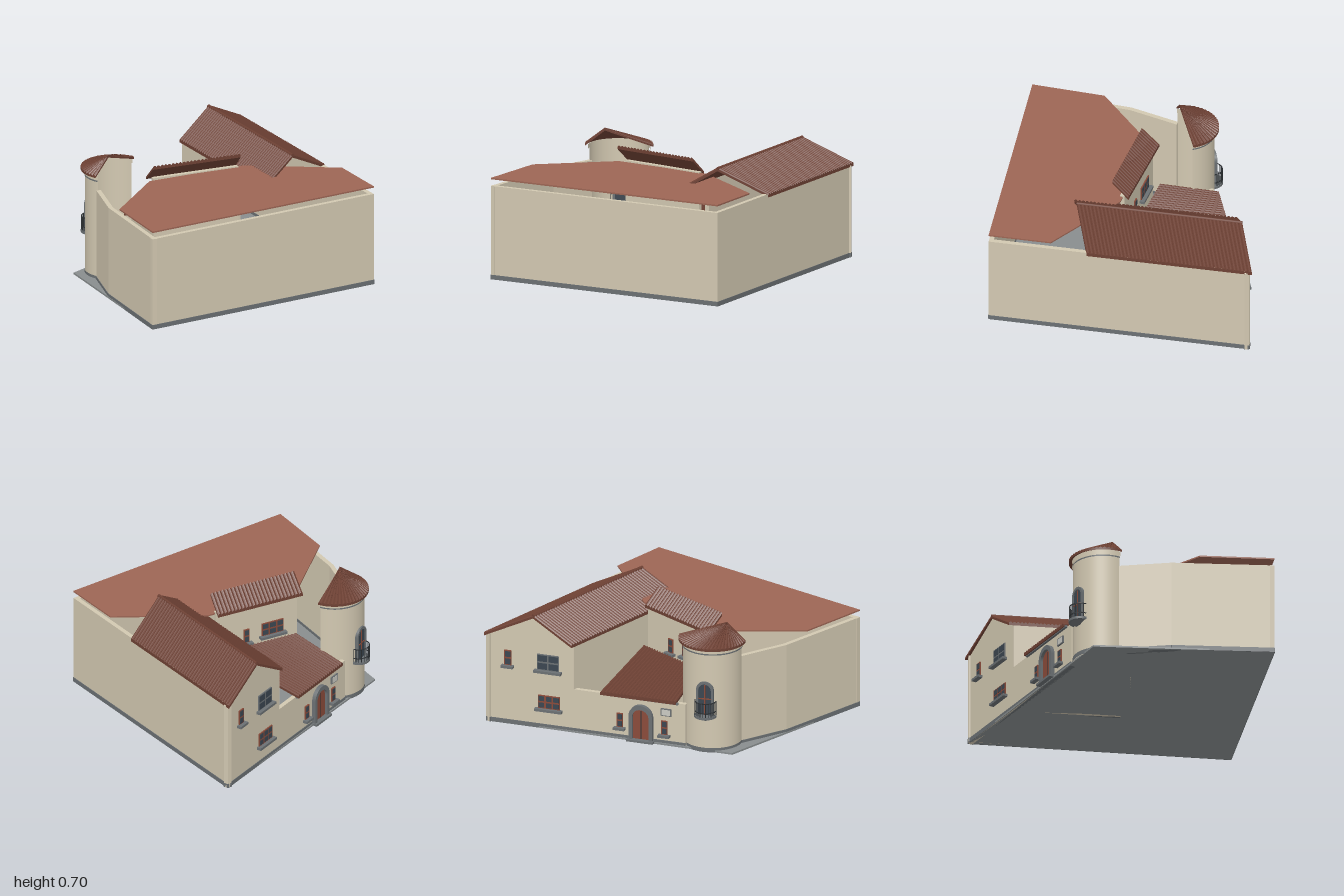
import * as THREE from 'three';

const mat = (name, color, side = THREE.FrontSide) => {
  const m = new THREE.MeshStandardMaterial({ color, side });
  m.name = name;
  return m;
};

export function createModel() {
  const M = {
    wall: mat('plaster', 0xd2c8b1, THREE.DoubleSide),
    tile: mat('roof tile', 0x6e4134, THREE.DoubleSide),
    deck: mat('terracotta', 0x9c6554),
    floor: mat('paving', 0x888d8e),
    stone: mat('grey stone', 0x6b7073),
    glass: mat('dark glass', 0x3b4650),
    wood: mat('red wood', 0x8a4b3a),
    iron: mat('iron', 0x2c3033),
    sign: mat('plaque', 0xc9c9c2),
  };
  const model = new THREE.Group();
  const add = (parent, name, geo, m, x = 0, y = 0, z = 0) => {
    const mesh = new THREE.Mesh(geo, m);
    mesh.name = name;
    mesh.position.set(x, y, z);
    parent.add(mesh);
    return mesh;
  };
  const box = (parent, name, m, w, h, d, x, y, z) =>
    add(parent, name, new THREE.BoxGeometry(w, h, d), m, x, y, z);
  const extrude = (shape, depth) => new THREE.ExtrudeGeometry(shape, { depth, bevelEnabled: false, curveSegments: 12 });
  const poly = (pts) => new THREE.Shape(pts.map(([x, y]) => new THREE.Vector2(x, y)));

  // Frame along a plan line p -> q: local x runs along it, local z points outward
  const frame = (name, [px, pz], [qx, qz]) => {
    const g = new THREE.Group();
    g.name = name;
    g.position.set(px, 0, pz);
    g.rotation.y = Math.atan2(-(qz - pz), qx - px);
    g.userData.len = Math.hypot(qx - px, qz - pz);
    model.add(g);
    return g;
  };
  const wall = (name, p, q, h, t = 0.025) => {
    const g = frame(name, p, q), L = g.userData.len;
    box(g, 'wallPanel', M.wall, L, h, t, L / 2, h / 2, -t / 2);
    box(g, 'plinth', M.stone, L, 0.025, t + 0.006, L / 2, 0.0125, -t / 2);
    return g;
  };
  // Horizontal slab from plan points
  const slab = (name, pts, y, h, m) => {
    const geo = extrude(poly(pts.map(([x, z]) => [x, -z])), h);
    geo.rotateX(-Math.PI / 2);
    return add(model, name, geo, m, 0, y, 0);
  };
  // Ribbed tile roof lofted between an eave curve and a ridge curve
  const tileRoof = (name, eave, ridge, tiles, thick = 0.014, amp = 0.008) => {
    const pos = [], idx = [], n = tiles * 4;
    for (let i = 0; i <= n; i++) {
      const u = i / n, bump = amp * Math.abs(Math.sin(u * tiles * Math.PI));
      const e = eave(u), r = ridge(u);
      for (const [p, dy] of [[e, bump], [r, bump], [r, -thick], [e, -thick]]) pos.push(p.x, p.y + dy, p.z);
    }
    for (let i = 0; i < n; i++) for (let k = 0; k < 4; k++) {
      const a = i * 4 + k, b = i * 4 + (k + 1) % 4;
      idx.push(a, a + 4, b, b, a + 4, b + 4);
    }
    for (const s of [0, n * 4]) idx.push(s, s + 1, s + 2, s, s + 2, s + 3);
    let geo = new THREE.BufferGeometry();
    geo.setAttribute('position', new THREE.Float32BufferAttribute(pos, 3));
    geo.setIndex(idx);
    geo = geo.toNonIndexed();
    geo.computeVertexNormals();
    return add(model, name, geo, M.tile);
  };
  const V = (x, y, z) => new THREE.Vector3(x, y, z);
  const line = (a, b) => (u) => a.clone().lerp(b, u);

  // Plan corners
  const S = [-0.355, 0.995], E = [0.81, 0.23], N = [0.055, -0.985], W = [-0.81, 0.13];

  // Ground slab and terrace
  slab('groundSlab', [S, E, N, W], 0, 0.01, M.floor);
  slab('terraceDeck', [S, E, [0.63, -0.06], [0.1, -0.08], [-0.4, 0.19], [-0.545, 0.64]], 0.551, 0.008, M.deck);

  // Outer and inner walls
  wall('frontWall', S, E, 0.515);
  wall('eastWall', E, N, 0.515);
  wall('westWall', [-0.61, 0.5], S, 0.515);
  wall('westWallReturn', [-0.685, 0.225], [-0.61, 0.5], 0.515);
  wall('gableSideWall', [-0.25, -0.585], [0.06, -0.09], 0.515);
  const court = wall('courtyardWall', [0.06, -0.07], [-0.39, 0.14], 0.565);

  // Street facade: tall gable and low entrance wall
  const fac = frame('facade', N, [-0.8, 0.14]);
  add(fac, 'gableWall', extrude(poly([[0, 0], [0.5, 0], [0.5, 0.505], [0.262, 0.638], [0, 0.505]]), 0.025), M.wall, 0, 0, -0.025);
  box(fac, 'entranceWall', M.wall, 0.64, 0.25, 0.025, 0.82, 0.125, -0.0125);
  box(fac, 'plinth', M.stone, 1.14, 0.025, 0.031, 0.57, 0.0125, -0.0125);

  // Window with frame, panes, glazing bars and sill
  const windowAt = (g, x, y, w, h, panes, frameMat) => {
    const win = new THREE.Group();
    win.name = 'window';
    win.position.set(x, y, 0);
    g.add(win);
    box(win, 'windowFrame', frameMat, w, h, 0.008, 0, 0, 0.003);
    for (let i = 0; i < panes; i++) for (let j = 0; j < 2; j++) {
      const pw = w / panes, ph = h / 2;
      box(win, 'pane', M.glass, pw - 0.01, ph - 0.01, 0.004, (i + 0.5) * pw - w / 2, (j - 0.5) * ph, 0.007);
    }
    box(win, 'sill', M.stone, w + 0.03, 0.014, 0.03, 0, -h / 2 - 0.007, 0.012);
  };
  windowAt(fac, 0.125, 0.385, 0.04, 0.085, 1, M.wood);
  windowAt(fac, 0.355, 0.385, 0.125, 0.09, 2, M.stone);
  windowAt(fac, 0.36, 0.155, 0.125, 0.075, 3, M.wood);
  windowAt(fac, 0.765, 0.11, 0.035, 0.08, 1, M.wood);
  windowAt(fac, 1.02, 0.1, 0.035, 0.08, 1, M.wood);
  windowAt(court, 0.185, 0.375, 0.035, 0.08, 1, M.wood);
  windowAt(court, 0.345, 0.385, 0.13, 0.075, 3, M.wood);

  // Arched panel of a given width and total height
  const arch = (w, h) => {
    const s = new THREE.Shape();
    s.moveTo(-w / 2, 0);
    s.lineTo(w / 2, 0);
    s.lineTo(w / 2, h - w / 2);
    s.absarc(0, h - w / 2, w / 2, 0, Math.PI, false);
    s.closePath();
    return s;
  };
  // Entrance door
  const door = new THREE.Group();
  door.name = 'door';
  door.position.set(0.888, 0.01, 0);
  fac.add(door);
  const surround = arch(0.135, 0.205);
  surround.holes.push(arch(0.095, 0.18));
  add(door, 'doorSurround', extrude(surround, 0.022), M.stone);
  add(door, 'doorLeaf', extrude(arch(0.096, 0.181), 0.006), M.wood);
  box(door, 'doorSeam', M.iron, 0.004, 0.17, 0.002, 0, 0.085, 0.007);
  box(door, 'doorStep', M.stone, 0.15, 0.012, 0.035, 0, 0, 0.0175);
  // Plain wall plaque
  box(fac, 'plaqueFrame', M.stone, 0.06, 0.042, 0.008, 1.03, 0.19, 0.004);
  box(fac, 'plaque', M.sign, 0.05, 0.032, 0.004, 1.03, 0.19, 0.008);

  // Half-round tower
  const tx = -0.59, tz = 0.09, R = 0.16, a0 = -3.71;
  const ring = (name, m, r, h, y) =>
    add(model, name, new THREE.CylinderGeometry(r, r, h, 32, 1, true, a0, Math.PI), m, tx, y, tz);
  ring('towerWall', M.wall, R, 0.6, 0.3);
  ring('towerPlinth', M.stone, R + 0.004, 0.025, 0.0125);
  ring('towerCornice', M.wall, R + 0.008, 0.025, 0.588);
  ring('towerBand', M.stone, R + 0.005, 0.008, 0.568);
  const apex = V(-0.622, 0.69, 0.16);
  tileRoof('towerRoof', (u) => {
    const a = a0 + u * Math.PI;
    return V(tx + 0.184 * Math.sin(a), 0.603, tz + 0.184 * Math.cos(a));
  }, () => apex, 26, 0.01, 0.007);

  // Tower window and balcony
  const tw = new THREE.Group();
  tw.name = 'towerWindow';
  tw.position.set(tx - 0.84 * R, 0.21, tz - 0.54 * R);
  tw.rotation.y = Math.atan2(-0.84, -0.54);
  model.add(tw);
  const twFrame = arch(0.095, 0.2);
  twFrame.holes.push(arch(0.07, 0.185));
  add(tw, 'archFrame', extrude(twFrame, 0.035), M.stone, 0, 0, -0.025);
  add(tw, 'archGlass', extrude(arch(0.072, 0.186), 0.022), M.glass, 0, 0, -0.018);
  box(tw, 'archBar', M.wood, 0.006, 0.18, 0.004, 0, 0.09, 0.005);
  box(tw, 'archCrossBar', M.wood, 0.07, 0.006, 0.004, 0, 0.1, 0.005);
  const half = (r, h) => new THREE.CylinderGeometry(r, r, h, 20, 1, false, -Math.PI / 2, Math.PI);
  add(tw, 'balconyFloor', half(0.062, 0.014), M.stone, 0, 0, -0.012);
  add(tw, 'balconyBracket', new THREE.CylinderGeometry(0.05, 0.02, 0.02, 20, 1, false, -Math.PI / 2, Math.PI), M.stone, 0, -0.016, -0.012);
  for (const y of [0.03, 0.085]) {
    const rail = add(tw, 'balconyRail', new THREE.TorusGeometry(0.058, 0.003, 5, 18, Math.PI), M.iron, 0, y, -0.012);
    rail.rotation.x = Math.PI / 2;
  }
  for (let i = 0; i <= 12; i++) {
    const a = i / 12 * Math.PI;
    add(tw, 'baluster', new THREE.CylinderGeometry(0.0022, 0.0022, 0.085, 5), M.iron,
      0.058 * Math.cos(a), 0.045, -0.012 + 0.058 * Math.sin(a));
  }

  // Main gable roof
  const r0 = V(-0.115, 0.647, -0.775), r1 = V(0.365, 0.647, -0.005);
  tileRoof('mainRoofEast', line(V(0.05, 0.512, -1), V(0.53, 0.512, -0.23)), line(r0, r1), 44);
  tileRoof('mainRoofWest', line(V(-0.265, 0.512, -0.605), V(0.215, 0.512, 0.165)), line(r0, r1), 44);
  const cap = add(model, 'ridgeCap', new THREE.CylinderGeometry(0.009, 0.009, r0.distanceTo(r1), 8), M.tile);
  cap.position.copy(r0).add(r1).multiplyScalar(0.5);
  cap.quaternion.setFromUnitVectors(V(0, 1, 0), r1.clone().sub(r0).normalize());

  // Courtyard eave roof and low entrance roof
  tileRoof('courtyardRoof', line(V(-0.42, 0.56, 0.12), V(0.05, 0.56, -0.09)),
    line(V(-0.38, 0.645, 0.21), V(0.085, 0.645, -0.005)), 24);
  tileRoof('entranceRoof', line(V(-0.36, 0.262, -0.475), V(-0.62, 0.262, -0.13)),
    line(V(0.03, 0.335, -0.105), V(-0.385, 0.335, 0.08)), 22);
  const gutter = box(fac, 'entranceGutter', M.stone, 0.44, 0.012, 0.014, 0.88, 0.25, 0.006);
  gutter.userData.part = 'trim';

  return model;
}
